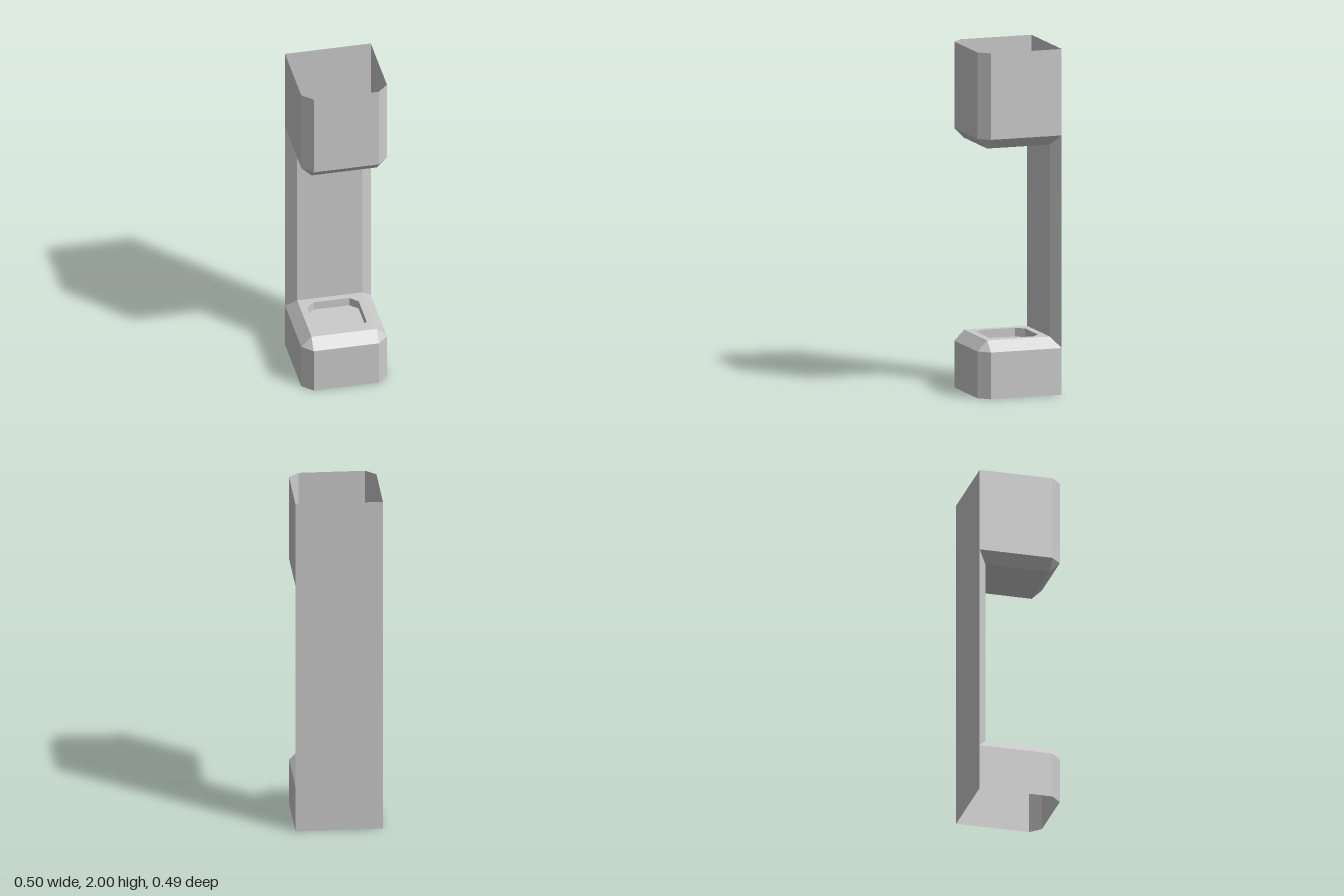
import * as THREE from 'three';

const OUT = 0.25, IN = 0.19, BACK = -0.24;

// Plan outlines as [x, z], running from the left of the back round the front
const wallPlan = [[-OUT, BACK], [-OUT, IN], [-IN, OUT], [IN, OUT], [OUT, IN], [OUT, BACK]];
const insetPlan = [[-IN, -IN], [-IN, IN], [-IN, IN], [IN, IN], [IN, IN], [IN, -IN]];

const at = (plan, y) => plan.map(([x, z]) => new THREE.Vector3(x, y, z));

// Flat-sided skin between successive rows of points, lowest row first
function loft(rows) {
  const pos = [];
  const tri = (a, b, c) => {
    if (new THREE.Triangle(a, b, c).getArea() > 1e-8) {
      for (const p of [a, b, c]) pos.push(p.x, p.y, p.z);
    }
  };
  for (let r = 0; r < rows.length - 1; r++) {
    const lo = rows[r], hi = rows[r + 1];
    for (let i = 0; i < lo.length - 1; i++) {
      tri(lo[i], lo[i + 1], hi[i + 1]);
      tri(lo[i], hi[i + 1], hi[i]);
    }
  }
  const geo = new THREE.BufferGeometry();
  geo.setAttribute('position', new THREE.Float32BufferAttribute(pos, 3));
  geo.computeVertexNormals();
  return geo;
}

export function createModel() {
  const group = new THREE.Group();
  const material = new THREE.MeshStandardMaterial({
    color: 0xcccccc, flatShading: true, side: THREE.DoubleSide,
  });
  const add = (name, geometry) => {
    const mesh = new THREE.Mesh(geometry, material);
    mesh.name = name;
    group.add(mesh);
  };

  // Full-height back panel
  const back = new THREE.PlaneGeometry(2 * OUT, 2);
  back.rotateY(Math.PI).translate(0, 1, BACK);
  add('backPanel', back);

  // Upper box: open on top, chamfered towards its floor
  add('upperBoxWalls', loft([at(insetPlan, 1.44), at(wallPlan, 1.5), at(wallPlan, 2)]));
  const upperFloor = new THREE.PlaneGeometry(2 * IN, 2 * IN);
  upperFloor.rotateX(Math.PI / 2).translate(0, 1.44, 0);
  add('upperBoxFloor', upperFloor);

  // Base: open underneath, chamfered towards its top
  add('baseWalls', loft([at(wallPlan, 0), at(wallPlan, 0.27), at(insetPlan, 0.33)]));

  // Column front with slanted sides joining the two boxes
  const edge = (yOuter, yInner) => [
    new THREE.Vector3(-OUT, yOuter, BACK), new THREE.Vector3(-IN, yInner, -IN),
    new THREE.Vector3(IN, yInner, -IN), new THREE.Vector3(OUT, yOuter, BACK),
  ];
  add('column', loft([edge(0.27, 0.33), edge(1.5, 1.44)]));

  // Base top with a cut-cornered recess
  const h = 0.15, k = 0.105;
  const octagon = [[-h, -k], [-h, k], [-k, h], [k, h], [h, k], [h, -k], [k, -h], [-k, -h]];
  const hole = octagon.map(([x, y]) => new THREE.Vector2(x, y));
  const top = new THREE.Shape([
    new THREE.Vector2(-IN, -IN), new THREE.Vector2(IN, -IN),
    new THREE.Vector2(IN, IN), new THREE.Vector2(-IN, IN),
  ]);
  top.holes.push(new THREE.Path(hole));
  add('baseTop', new THREE.ShapeGeometry(top).rotateX(-Math.PI / 2).translate(0, 0.33, 0));

  const loop = [...octagon, octagon[0]].reverse();
  add('recessWalls', loft([at(loop, 0.28), at(loop, 0.33)]));
  add('recessFloor', new THREE.ShapeGeometry(new THREE.Shape(hole))
    .rotateX(-Math.PI / 2).translate(0, 0.28, 0));

  return group;
}
